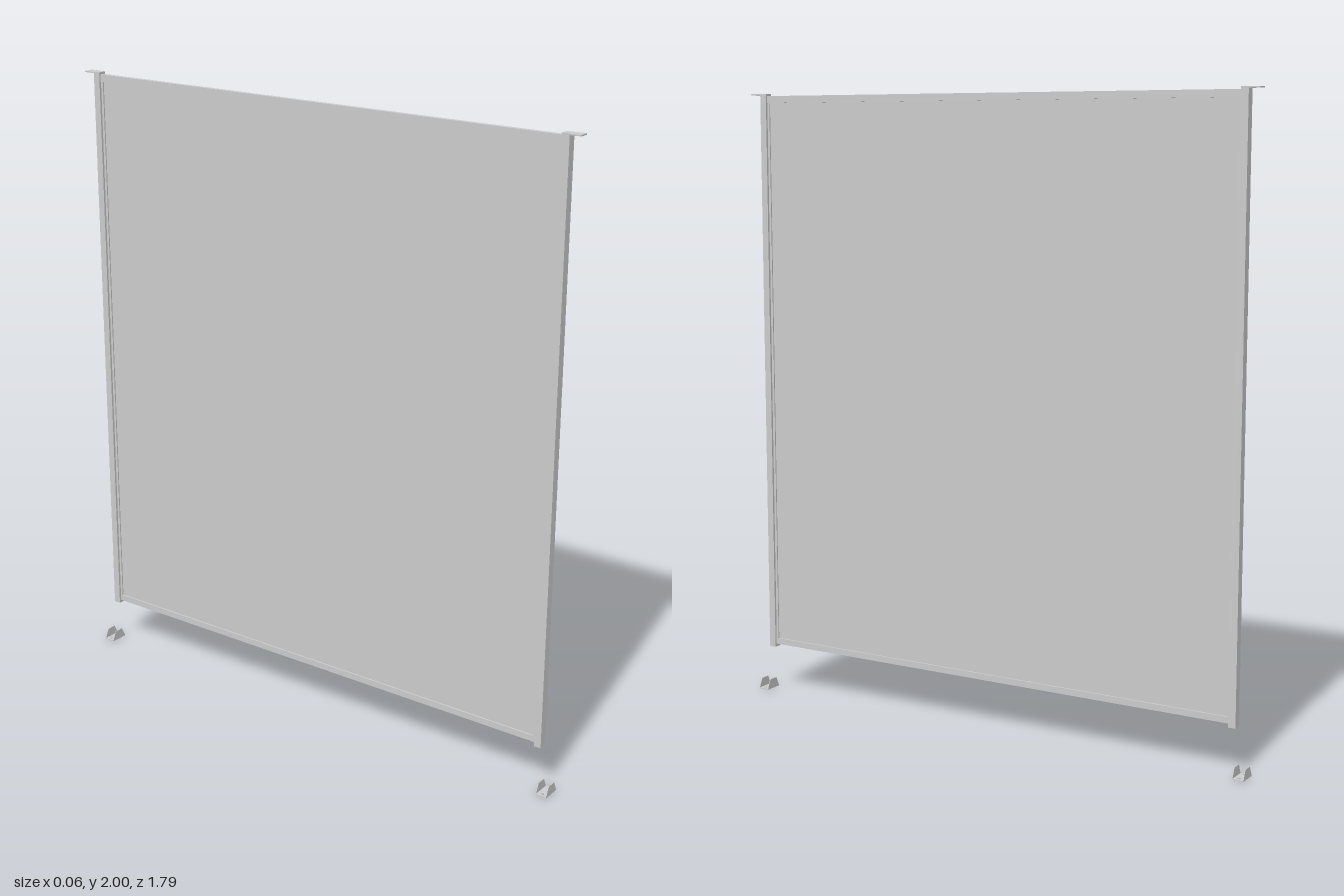
import * as THREE from 'three';

const material = new THREE.MeshStandardMaterial({ color: 0xcccccc, flatShading: true, side: THREE.DoubleSide });

function add(parent, name, geometry, x = 0, y = 0, z = 0) {
  const mesh = new THREE.Mesh(geometry, material);
  mesh.name = name;
  mesh.position.set(x, y, z);
  parent.add(mesh);
  return mesh;
}

// Box given by its width and its y and z ranges, centred on x = 0
function box(parent, name, w, y0, y1, z0, z1) {
  return add(parent, name, new THREE.BoxGeometry(w, y1 - y0, z1 - z0), 0, (y0 + y1) / 2, (z0 + z1) / 2);
}

function outline(points) {
  return new THREE.Shape(points.map(([x, y]) => new THREE.Vector2(x, y)));
}

// Post, cap and foot at one end of the screen
function createEnd() {
  const end = new THREE.Group();
  box(end, 'post', 0.026, 0.15, 1.996, 0.834, 0.857);
  box(end, 'panelBead', 0.012, 0.16, 1.97, 0.826, 0.834);

  // Thin cap plate reaching outwards over the post
  const plate = outline([[-0.012, 0.833], [0.012, 0.833], [0.016, 0.857], [0.016, 0.893], [-0.016, 0.893], [-0.016, 0.857]]);
  const cap = add(end, 'topPlate', new THREE.ExtrudeGeometry(plate, { depth: 0.004, bevelEnabled: false }), 0, 2, 0);
  cap.rotation.x = Math.PI / 2;

  // Foot: base plate between two upright trapezoid cheeks
  box(end, 'footBase', 0.062, 0, 0.003, 0.857, 0.893);
  const cheek = outline([[-0.031, 0], [0.031, 0], [0.016, 0.033], [-0.016, 0.033]]);
  for (const z of [0.856, 0.891]) {
    add(end, 'footCheek', new THREE.ExtrudeGeometry(cheek, { depth: 0.002, bevelEnabled: false }), 0, 0, z);
  }
  for (const x of [-0.02, 0.02]) {
    add(end, 'footScrew', new THREE.CylinderGeometry(0.004, 0.004, 0.004, 12), x, 0.005, 0.875);
  }
  return end;
}

export function createModel() {
  const model = new THREE.Group();
  model.name = 'screenPanel';

  // Panel and its horizontal rails
  box(model, 'panel', 0.004, 0.165, 1.98, -0.834, 0.834);
  box(model, 'topRail', 0.015, 1.971, 1.993, -0.834, 0.834);
  box(model, 'bottomRail', 0.014, 0.16, 0.18, -0.834, 0.834);

  // Matching ends
  for (const [name, turn] of [['frontEnd', 0], ['backEnd', Math.PI]]) {
    const end = createEnd();
    end.name = name;
    end.rotation.y = turn;
    model.add(end);
  }
  return model;
}
